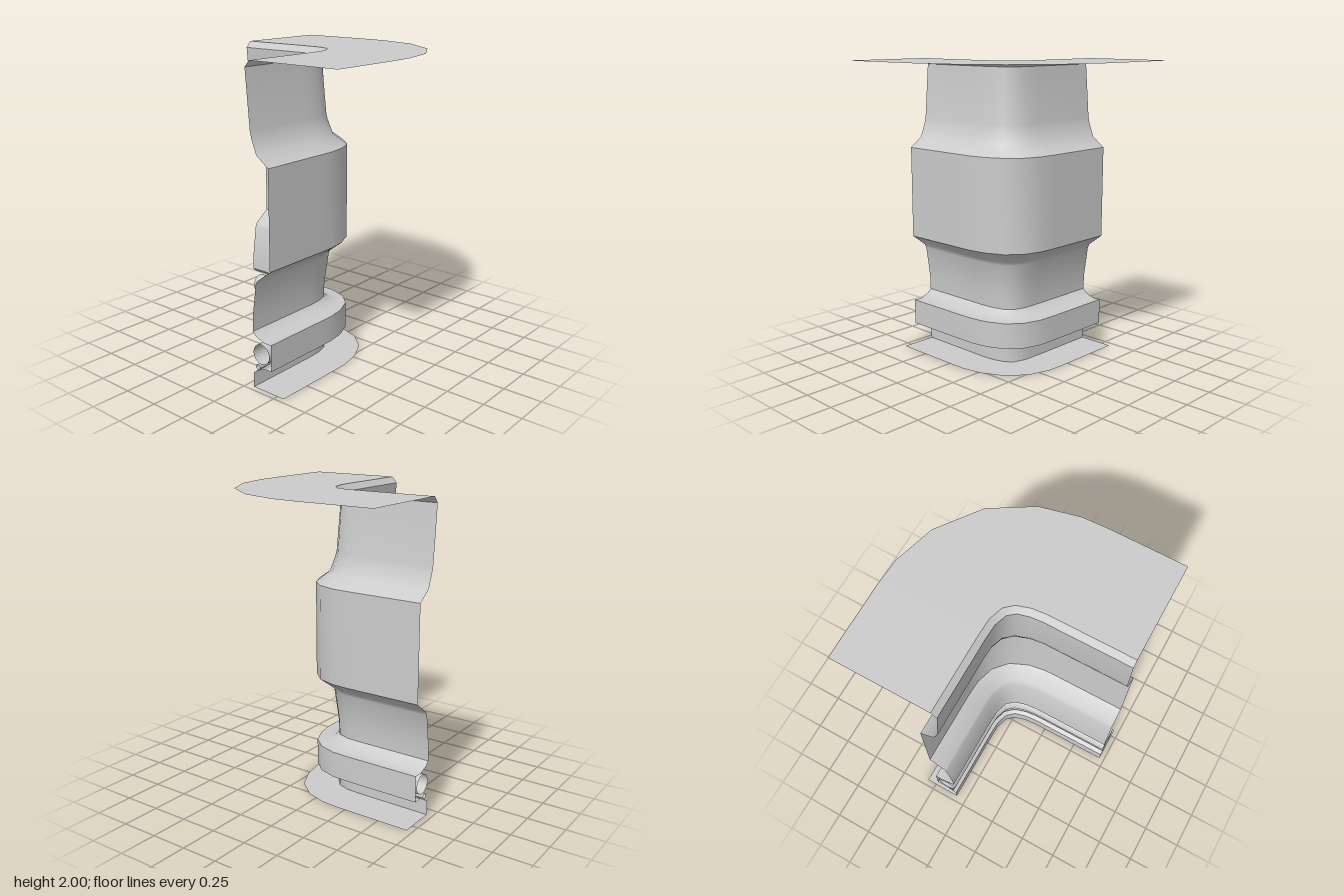
import * as THREE from 'three';
import { toCreasedNormals } from 'three/addons/utils/BufferGeometryUtils.js';

// Corner rail in plan: [inner x, inner z, outer x, outer z] at each station.
const INNER = 0.04, OUTER = 0.707;
const stations = [
  [-0.71, -0.057, -0.71, -0.725],
  [-0.20, -0.057, -0.20, -0.725],
  [-0.10, -0.053, -0.04, -0.715],
  [-0.023, -0.027, 0.22, -0.64],
  [0.015, 0.02, 0.48, -0.45],
  [0.034, 0.095, 0.64, -0.19],
  [0.04, 0.17, 0.70, 0.06],
  [0.04, 0.23, 0.707, 0.23],
  [0.04, 0.715, 0.707, 0.715],
];

// Sweeps a profile of [offset, height] points round the corner.
function sweep(name, profile, crease = 0.66) {
  const positions = [], index = [], n = profile.length;
  for (const [ix, iz, ox, oz] of stations) {
    for (const [offset, y] of profile) {
      const t = (offset - INNER) / (OUTER - INNER);
      positions.push(ix + (ox - ix) * t, y, iz + (oz - iz) * t);
    }
  }
  for (let i = 0; i < stations.length - 1; i++) {
    for (let j = 0; j < n - 1; j++) {
      const a = i * n + j, b = a + n;
      index.push(a, b, a + 1, b, b + 1, a + 1);
    }
  }
  const geometry = new THREE.BufferGeometry();
  geometry.setAttribute('position', new THREE.Float32BufferAttribute(positions, 3));
  geometry.setIndex(index);
  const material = new THREE.MeshStandardMaterial({ color: 0xcccccc, side: THREE.DoubleSide });
  const mesh = new THREE.Mesh(toCreasedNormals(geometry, crease), material);
  mesh.name = name;
  return mesh;
}

// Closed circular profile for the pipes.
function circle(offset, y, radius, sides) {
  return Array.from({ length: sides + 1 }, (_, k) => {
    const a = (k / sides) * Math.PI * 2;
    return [offset + Math.cos(a) * radius, y - Math.sin(a) * radius];
  });
}

export function createModel() {
  const group = new THREE.Group();
  group.name = 'cornerMoulding';

  // Flat top ledge and the foot flange
  group.add(sweep('topLedge', [[OUTER, 2], [0.075, 2]]));
  group.add(sweep('footFlange', [[0.055, 0], [0.3, 0]]));

  // Wall skin: lip, neck, broad band, waist, pipe channel, skirting
  group.add(sweep('wall', [
    [0.075, 2], [0.04, 1.96],
    [0.07, 1.6], [0.08, 1.56], [0.115, 1.47], [0.205, 1.405],
    [0.205, 0.785], [0.1, 0.705], [0.088, 0.68], [0.058, 0.47], [0.055, 0.37],
    [0.08, 0.345], [0.145, 0.32], [0.203, 0.32],
    [0.203, 0.147], [0.145, 0.147], [0.09, 0.12], [0.055, 0.098], [0.055, 0],
  ]));

  // Open pipes running inside the channel
  group.add(sweep('mainPipe', circle(0.122, 0.237, 0.065, 24)));
  group.add(sweep('smallPipe', circle(0.092, 0.145, 0.017, 12)));

  return group;
}
